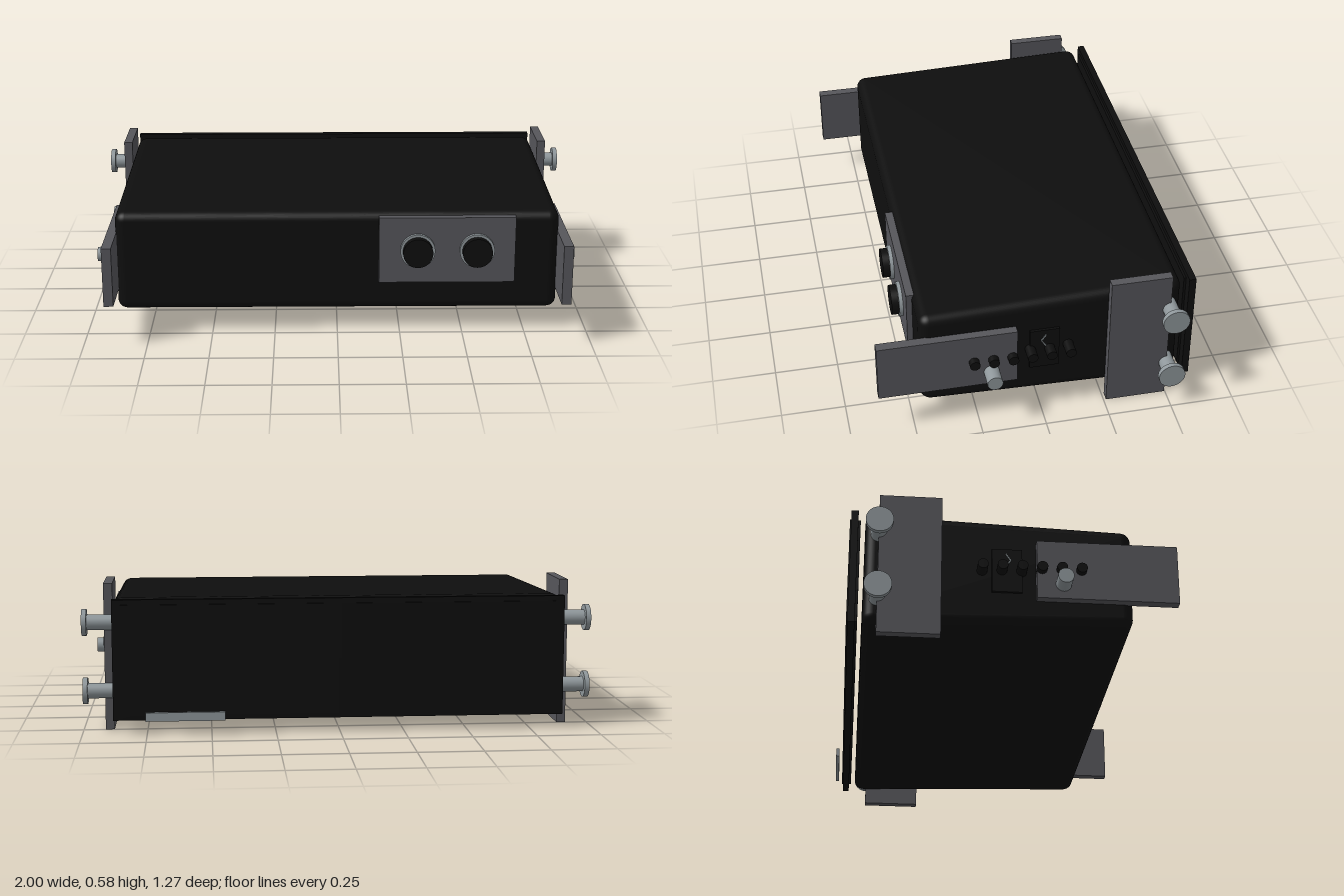
import * as THREE from 'three';
import { RoundedBoxGeometry } from 'three/addons/geometries/RoundedBoxGeometry.js';

const mat = (name, color) => {
  const m = new THREE.MeshStandardMaterial({ color });
  m.name = name;
  return m;
};

export function createModel() {
  const black = mat('black', 0x0e0e0e);
  const plateGrey = mat('plate grey', 0x56565b);
  const steel = mat('steel', 0x8f979b);
  const model = new THREE.Group();

  const add = (name, geometry, material, parent = model) => {
    const mesh = new THREE.Mesh(geometry, material);
    mesh.name = name;
    parent.add(mesh);
    return mesh;
  };
  // Box given by its extents on each axis
  const box = (name, material, [x0, x1], [y0, y1], [z0, z1], parent) => {
    const g = new THREE.BoxGeometry(x1 - x0, y1 - y0, z1 - z0);
    g.translate((x0 + x1) / 2, (y0 + y1) / 2, (z0 + z1) / 2);
    return add(name, g, material, parent);
  };
  // Cylinder along x
  const pin = (name, material, r, x0, x1, y, z, parent) => {
    const g = new THREE.CylinderGeometry(r, r, x1 - x0, 32);
    g.rotateZ(-Math.PI / 2).translate((x0 + x1) / 2, y, z);
    return add(name, g, material, parent);
  };
  // Cylinder along z
  const dial = (name, material, r, z0, z1, x, y) => {
    const g = new THREE.CylinderGeometry(r, r, z1 - z0, 40);
    g.rotateX(Math.PI / 2).translate(x, y, (z0 + z1) / 2);
    return add(name, g, material);
  };

  // Rounded body, tapering in height towards the front
  const bodyGeo = new RoundedBoxGeometry(1.76, 0.47, 1.014, 5, 0.04);
  const p = bodyGeo.attributes.position;
  for (let i = 0; i < p.count; i++) {
    const t = (p.getZ(i) + 0.507) / 1.014;
    p.setY(i, p.getY(i) * (1 - 0.138 * t));
  }
  bodyGeo.translate(0, 0.29, -0.041);
  add('body', bodyGeo, black);

  // Rear cover with two shallow doors and a handle
  box('rearCover', black, [-0.88, 0.88], [0.055, 0.525], [-0.602, -0.575]);
  box('rearCoverLining', black, [-0.84, 0.84], [0.075, 0.505], [-0.576, -0.566]);
  for (const s of [-1, 1]) {
    const xs = [s * 0.006, s * 0.845].sort((a, b) => a - b);
    box('rearDoor', black, xs, [0.075, 0.505], [-0.607, -0.601]);
  }
  box('rearHandle', steel, [0.447, 0.755], [0.056, 0.09], [-0.635, -0.621]);

  // Front control panel with two dials
  box('controlPanel', plateGrey, [0.165, 0.705], [0.21, 0.48], [0.455, 0.488]);
  for (const x of [0.318, 0.553]) {
    dial('dialCollar', steel, 0.069, 0.48, 0.503, x, 0.345);
    dial('dialKnob', black, 0.059, 0.49, 0.531, x, 0.345);
  }

  // Mounting hardware on both sides
  for (const s of [1, -1]) {
    const side = new THREE.Group();
    side.name = s > 0 ? 'leftMounting' : 'rightMounting';
    model.add(side);
    const span = (a, b) => (s > 0 ? [a, b] : [-b, -a]);
    const sidePin = (name, m, r, a, b, y, z) => pin(name, m, r, ...span(a, b), y, z, side);

    box('rearBracket', plateGrey, span(0.88, 0.915), [0, 0.577], [-0.497, -0.26], side);
    box('frontBracket', plateGrey, span(0.875, 0.913), [0.17, 0.41], [0.098, 0.635], side);

    for (const y of [0.155, 0.425]) {
      sidePin('rearBoltShaft', steel, 0.03, 0.87, 0.985, y, -0.496);
      sidePin('rearBoltHead', steel, 0.052, 0.981, 1, y, -0.496);
    }
    sidePin('frontBolt', steel, 0.03, 0.87, 0.985, 0.23, 0.198);

    // Row of pegs
    for (let i = 0; i < 6; i++) {
      sidePin('peg', black, 0.02, 0.87, 0.94, 0.29, 0.266 - i * 0.0745);
    }

    // Thin side cover with a small steel catch
    box('sideCover', black, span(0.87, 0.89), [0.2, 0.38], [-0.07, 0.045], side);
    for (const d of [1, -1]) {
      const catchArm = add('catchArm', new THREE.BoxGeometry(0.006, 0.034, 0.004), steel, side);
      catchArm.position.set(s * 0.89, 0.332 + d * 0.013, -0.008);
      catchArm.rotation.x = -d * 0.6;
    }
  }
  return model;
}
